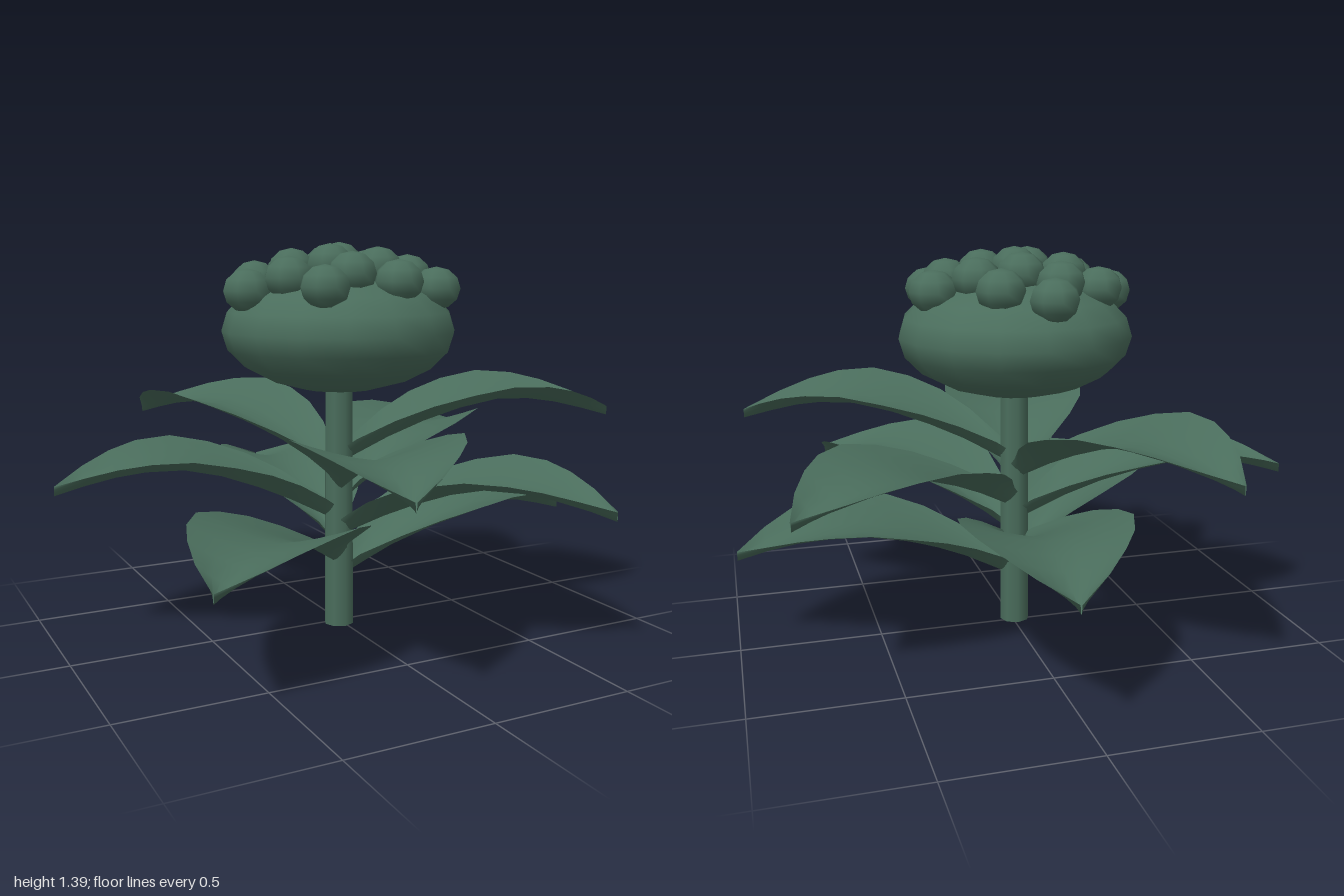
import * as THREE from 'three';

const GOLDEN = THREE.MathUtils.degToRad(137.5);

// Leaf along +x: each section is [reach, midrib height, half width, edge lift]
const SECTIONS = [
  [0.00, 0.17, 0.03, 0.05],
  [0.06, 0.20, 0.055, 0.065],
  [0.18, 0.262, 0.15, 0.08],
  [0.30, 0.315, 0.222, 0.085],
  [0.43, 0.362, 0.270, 0.08],
  [0.57, 0.394, 0.280, 0.076],
  [0.70, 0.394, 0.245, 0.07],
  [0.80, 0.380, 0.188, 0.062],
  [0.90, 0.356, 0.110, 0.05],
  [1.00, 0.328, 0.003, 0.032],
];

function leafGeometry() {
  const cols = 8, pos = [], idx = [];
  SECTIONS.forEach(([x, y, w, lift], i) => {
    for (let j = 0; j <= cols; j++) {
      const u = (j / cols) * 2 - 1;
      pos.push(x, y + lift * Math.abs(u) ** 1.4, u * w);
      if (i && j) {
        const d = i * (cols + 1) + j, c = d - 1, b = d - cols - 1, a = b - 1;
        idx.push(a, b, d, a, d, c);
      }
    }
  });
  const g = new THREE.BufferGeometry();
  g.setAttribute('position', new THREE.Float32BufferAttribute(pos, 3));
  g.setIndex(idx);
  g.computeVertexNormals();
  return g;
}

export function createModel() {
  const group = new THREE.Group();
  const green = new THREE.MeshStandardMaterial({ color: 0x4a6d5c, side: THREE.DoubleSide });
  green.name = 'leafGreen';

  const add = (name, geometry, x, y, z) => {
    const mesh = new THREE.Mesh(geometry, green);
    mesh.name = name;
    mesh.position.set(x, y, z);
    group.add(mesh);
    return mesh;
  };
  const cx = -0.01, cz = 0.02;

  // Stem
  add('stem', new THREE.CylinderGeometry(0.05, 0.055, 1, 8), cx, 0.5, cz);

  // Nine leaves spiralling up the stem
  const leaf = leafGeometry();
  for (let i = 0; i < 9; i++) {
    add('leaf' + (i + 1), leaf, cx, i * 0.054, cz).rotation.y = -i * GOLDEN;
  }

  // Flattened flower head
  add('head', new THREE.SphereGeometry(0.415, 16, 10).scale(1, 0.52, 1), cx, 1.08, cz);

  // Buds in a sunflower spiral over the head
  const bud = new THREE.SphereGeometry(0.086, 8, 6).scale(1, 0.86, 1);
  for (let i = 0; i < 18; i++) {
    const r = 0.086 * Math.sqrt(i), a = i * GOLDEN;
    add('bud' + (i + 1), bud, cx + r * Math.cos(a), 1.315 - 0.0053 * i, cz + r * Math.sin(a));
  }
  return group;
}
